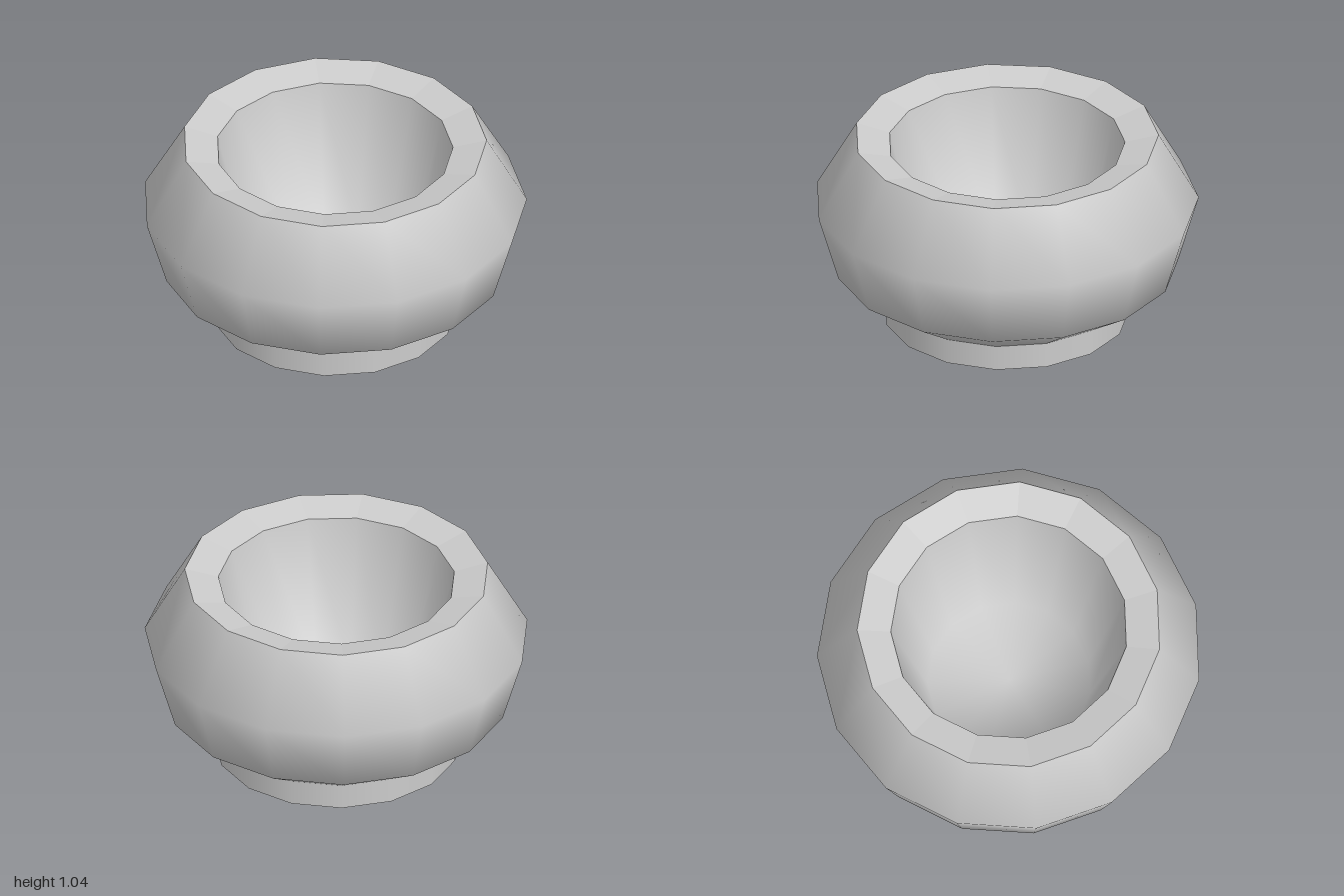
import * as THREE from 'three';

const SIDES = 15;

// Lathe a list of [radius, height] points, with one corner pointing to +x
function turned(name, points, flatShading = false) {
  const profile = points.map(([r, y]) => new THREE.Vector2(r, y));
  const geometry = new THREE.LatheGeometry(profile, SIDES, Math.PI / 2);
  const material = new THREE.MeshStandardMaterial({
    color: 0xcccccc, side: THREE.DoubleSide, flatShading,
  });
  const mesh = new THREE.Mesh(geometry, material);
  mesh.name = name;
  return mesh;
}

export function createModel() {
  const bowl = new THREE.Group();
  bowl.name = 'bowl';

  // Shared rings where the parts meet
  const footTop = [0.642, 0.138];
  const rimOuter = [0.796, 1.04];
  const rimInner = [0.62, 1.0];
  const floorEdge = [0.428, 0.2];

  bowl.add(
    // Thin open ring the bowl stands on
    turned('foot', [[0.642, 0], footTop]),
    // Rounded outside, smooth from foot to rim
    turned('outerWall', [footTop, [0.9, 0.305], [1.0055, 0.667], rimOuter]),
    // Thick rim, sloping gently inward
    turned('rim', [rimOuter, rimInner], true),
    // Hollow inside, tapering from the rim to a small flat floor
    turned('innerWall', [rimInner, floorEdge, [0, 0.2]]),
    // Ledge under the bowl, between the foot and the floor
    turned('underside', [floorEdge, footTop], true),
  );

  // An odd number of sides reaches further to +x than to -x
  bowl.position.x = -0.011;

  const model = new THREE.Group();
  model.add(bowl);
  return model;
}
